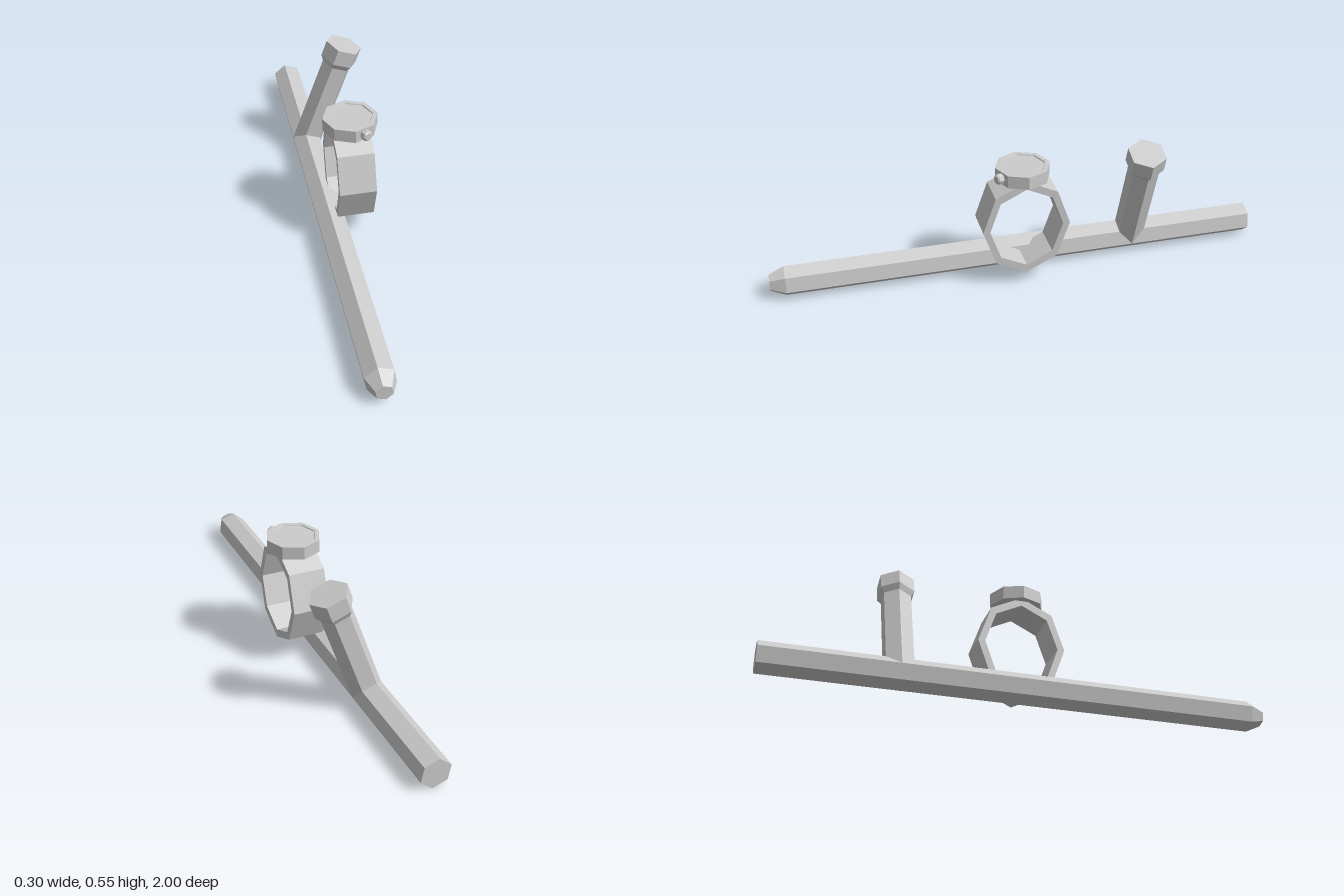
import * as THREE from 'three';

const material = new THREE.MeshStandardMaterial({ color: 0xcccccc, flatShading: true });
const rad = THREE.MathUtils.degToRad;

// Faceted solid of revolution from [radius, height] pairs, listed bottom to top
function turned(name, profile, sides, startDeg) {
  const points = profile.map(([r, y]) => new THREE.Vector2(r, y));
  const mesh = new THREE.Mesh(new THREE.LatheGeometry(points, sides, rad(startDeg)), material);
  mesh.name = name;
  return mesh;
}

// Stretched octagon with corners on both axes
function octagon(rx, ry) {
  return Array.from({ length: 8 }, (_, i) =>
    new THREE.Vector2(rx * Math.cos(i * Math.PI / 4), ry * Math.sin(i * Math.PI / 4)));
}

function createBaton() {
  const baton = new THREE.Group();
  baton.name = 'baton';
  baton.position.set(-0.092, 0.063, 0);

  // Long hexagonal rod with a tapered front tip
  const rod = turned('rod', [[0, -1], [0.062, -1], [0.062, 0.94], [0.034, 1], [0, 1]], 6, 10);
  rod.rotation.x = Math.PI / 2;

  // Side handle leaning toward +x, ending in a wider knob
  const handle = turned('sideHandle',
    [[0, 0], [0.062, 0], [0.062, 0.398], [0.077, 0.422], [0.077, 0.489], [0, 0.489]], 6, 90);
  handle.position.z = -0.48;
  handle.rotation.z = rad(-20);

  baton.add(rod, handle);
  return baton;
}

function createWatch() {
  const watch = new THREE.Group();
  watch.name = 'wristwatch';

  // Closed strap: octagonal band extruded along x
  const outline = new THREE.Shape(octagon(0.175, 0.205));
  outline.holes.push(new THREE.Path(octagon(0.147, 0.172)));
  const bandGeometry = new THREE.ExtrudeGeometry(outline, { depth: 0.145, bevelEnabled: false });
  bandGeometry.translate(0, 0, -0.075).rotateY(Math.PI / 2);
  const strap = new THREE.Mesh(bandGeometry, material);
  strap.name = 'strap';
  strap.position.y = 0.256;

  // Case with a shallow sunken dial
  const watchCase = turned('watchCase',
    [[0, 0.448], [0.108, 0.448], [0.108, 0.5], [0.09, 0.5], [0.088, 0.496], [0, 0.496]], 8, 0);

  // Crown on the facet between the front and left corners
  const crown = turned('crown', [[0, 0.09], [0.021, 0.09], [0.021, 0.119], [0.016, 0.125], [0, 0.125]], 8, 0);
  crown.rotation.set(Math.PI / 2, rad(22.5), 0, 'YXZ');
  crown.position.y = 0.474;

  watch.add(strap, watchCase, crown);
  return watch;
}

export function createModel() {
  const model = new THREE.Group();
  model.name = 'batonAndWatch';
  model.add(createBaton(), createWatch());
  return model;
}
